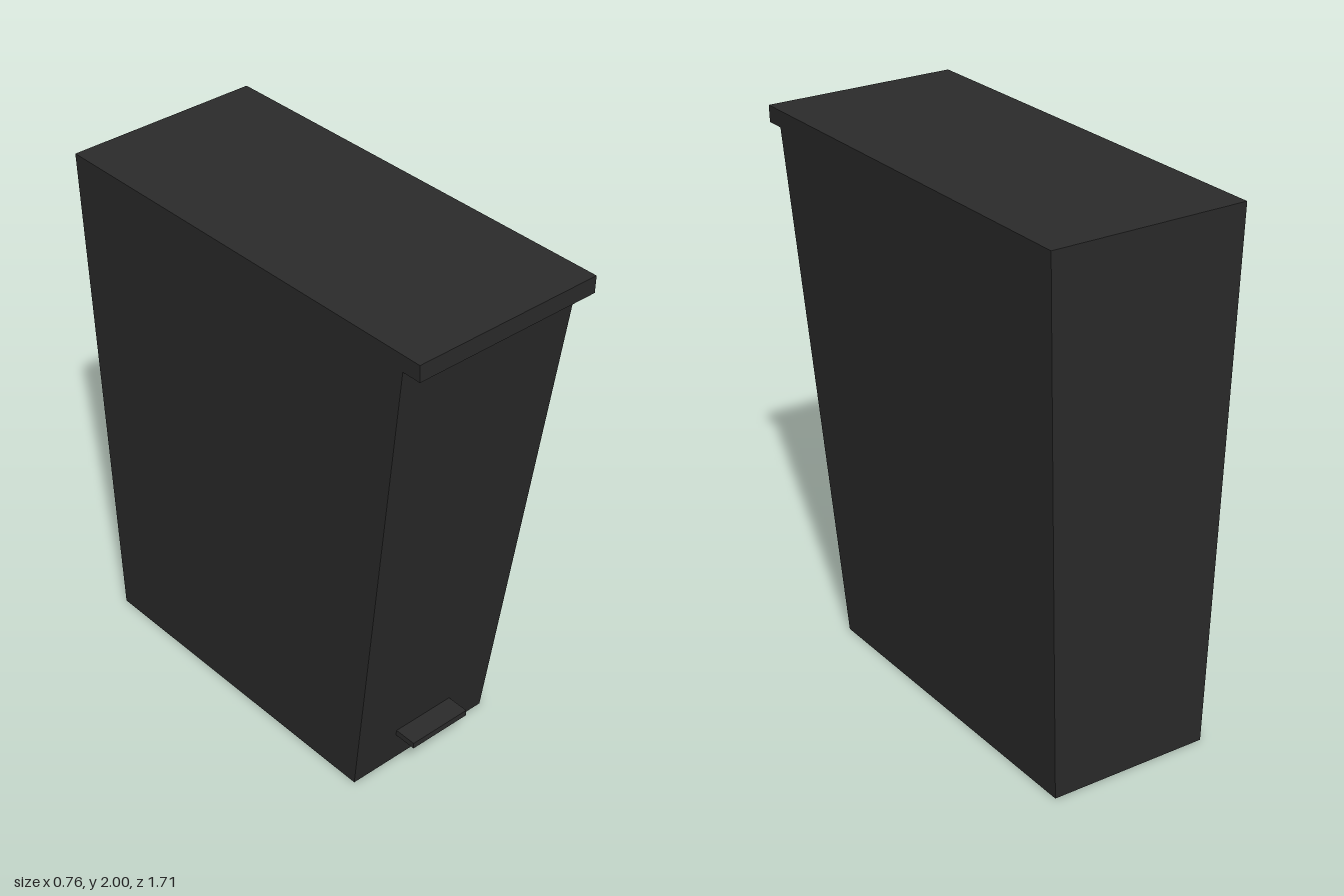
import * as THREE from 'three';

const HEIGHT = 2, LID_Y = 1.937;
const bottom = { x: 0.313, front: 0.515, back: -0.825 };
const top = { x: 0.378, front: 0.787, back: -0.853 };

// Rectangular section of the tapering bin at height y
function sectionAt(y) {
  const t = y / HEIGHT, mix = (k) => THREE.MathUtils.lerp(bottom[k], top[k], t);
  return { x: mix('x'), front: mix('front'), back: mix('back') };
}

// Box whose lower and upper rectangles differ
function taperedBox(y0, y1, low, high) {
  const geo = new THREE.BoxGeometry(1, 1, 1);
  const p = geo.attributes.position;
  for (let i = 0; i < p.count; i++) {
    const s = p.getY(i) < 0 ? low : high;
    p.setXYZ(i, Math.sign(p.getX(i)) * s.x, p.getY(i) < 0 ? y0 : y1, p.getZ(i) > 0 ? s.front : s.back);
  }
  geo.computeVertexNormals();
  return geo;
}

export function createModel() {
  const group = new THREE.Group();
  const plastic = new THREE.MeshStandardMaterial({ color: 0x2b2b2b });
  plastic.name = 'charcoal plastic';

  const add = (name, geometry) => {
    const mesh = new THREE.Mesh(geometry, plastic);
    mesh.name = name;
    group.add(mesh);
    return mesh;
  };

  // Tapered bin body
  const rim = sectionAt(LID_Y);
  add('body', taperedBox(0, LID_Y, bottom, rim));

  // Lid flush with the sides and back, overhanging at the front
  const lip = 0.853;
  add('lid', taperedBox(LID_Y, HEIGHT, { ...rim, front: lip }, { ...top, front: lip }));

  // Foot pedal sticking out of the lower front
  add('pedal', new THREE.BoxGeometry(0.26, 0.024, 0.13)).position.set(0, 0.142, 0.56);

  return group;
}
